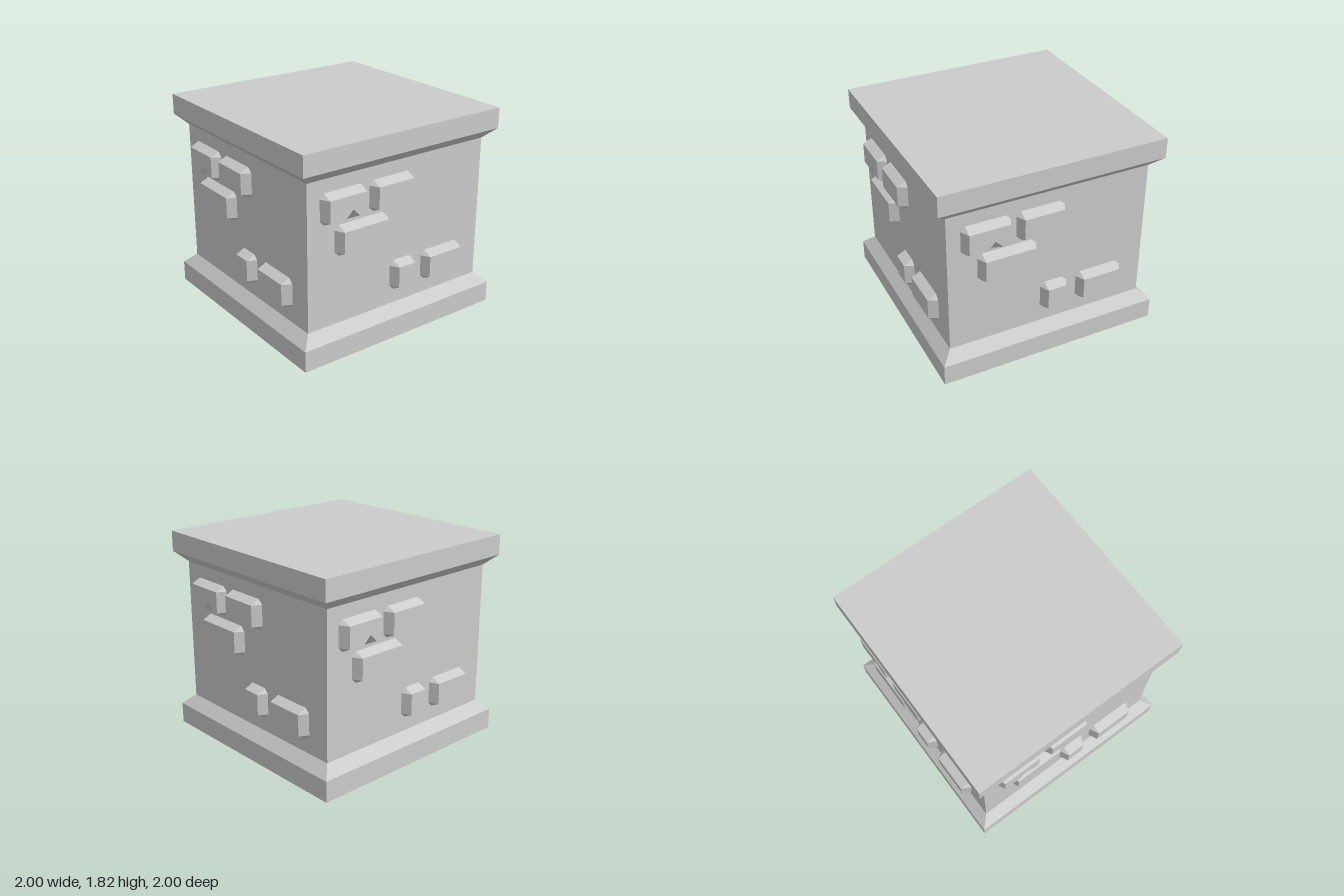
import * as THREE from 'three';

const material = new THREE.MeshStandardMaterial({ color: 0xcccccc, flatShading: true });

const WALL = 0.905;   // distance of each wall from the centre
const FACE = 0.985;   // distance of the raised stone faces
const BEVEL = 0.04;

// Square pillar with a wider foot and cap
function createPillar() {
  const profile = [
    [0, 0], [1, 0], [1, 0.185], [WALL, 0.275],
    [WALL, 1.55], [1, 1.64], [1, 1.82], [0, 1.82],
  ].map(([r, y]) => new THREE.Vector2(r * Math.SQRT2, y));
  const mesh = new THREE.Mesh(new THREE.LatheGeometry(profile, 4).rotateY(Math.PI / 4), material);
  mesh.name = 'pillar';
  return mesh;
}

// Bevelled stone standing out of the +z wall; chipX cuts a notch in its lower edge
function createStone(x0, x1, y0, y1, chipX) {
  const [a, b, c, d] = [x0 + BEVEL, x1 - BEVEL, y0 + BEVEL, y1 - BEVEL];
  const positions = [];

  // Flat facet, corners counter-clockwise as seen from the front
  const facet = (...corners) => {
    const outline = corners.map(([x, y]) => new THREE.Vector2(x, y));
    for (const triangle of THREE.ShapeUtils.triangulateShape(outline, [])) {
      for (const i of triangle) positions.push(...corners[i]);
    }
  };

  const front = [[a, c, FACE], [b, c, FACE], [b, d, FACE], [a, d, FACE]];
  const base = [
    [a, y0, WALL], [b, y0, WALL], [x1, c, WALL], [x1, d, WALL],
    [b, y1, WALL], [a, y1, WALL], [x0, d, WALL], [x0, c, WALL],
  ];

  // Notch points: left, top, right on the face and a deep one on the lower bevel
  let faceNotch = [], bevelNotch = [];
  if (chipX !== undefined) {
    const left = [chipX - 0.068, c, FACE];
    const right = [chipX + 0.068, c, FACE];
    const top = [chipX, y0 + 0.105, FACE];
    const deep = [chipX, y0 + 0.005, WALL + 0.01];
    faceNotch = [left, top, right];
    bevelNotch = [right, deep, left];
    facet(left, deep, top);
    facet(deep, right, top);
  }

  facet(front[0], ...faceNotch, front[1], front[2], front[3]);
  for (let i = 0; i < 4; i++) {
    const next = front[(i + 1) % 4];
    facet(base[2 * i], base[2 * i + 1], next, ...(i === 0 ? bevelNotch : []), front[i]);
    facet(base[2 * i + 1], base[(2 * i + 2) % 8], next);   // corner
  }

  const geometry = new THREE.BufferGeometry();
  geometry.setAttribute('position', new THREE.Float32BufferAttribute(positions, 3));
  geometry.computeVertexNormals();
  const mesh = new THREE.Mesh(geometry, material);
  mesh.name = 'stone';
  return mesh;
}

export function createModel() {
  const model = new THREE.Group();
  model.name = 'stonePillar';
  model.add(createPillar());

  // The same five stones on each of the four walls
  const stones = [
    [-0.785, -0.355, 1.17, 1.435, -0.525],
    [-0.305, 0.125, 1.17, 1.435],
    [-0.645, -0.125, 0.875, 1.14],
    [-0.075, 0.17, 0.403, 0.67],
    [0.265, 0.692, 0.4, 0.667],
  ];
  ['front', 'left', 'back', 'right'].forEach((side, i) => {
    const wall = new THREE.Group();
    wall.name = side + 'Stones';
    for (const stone of stones) wall.add(createStone(...stone));
    wall.rotation.y = i * Math.PI / 2;
    model.add(wall);
  });
  return model;
}
